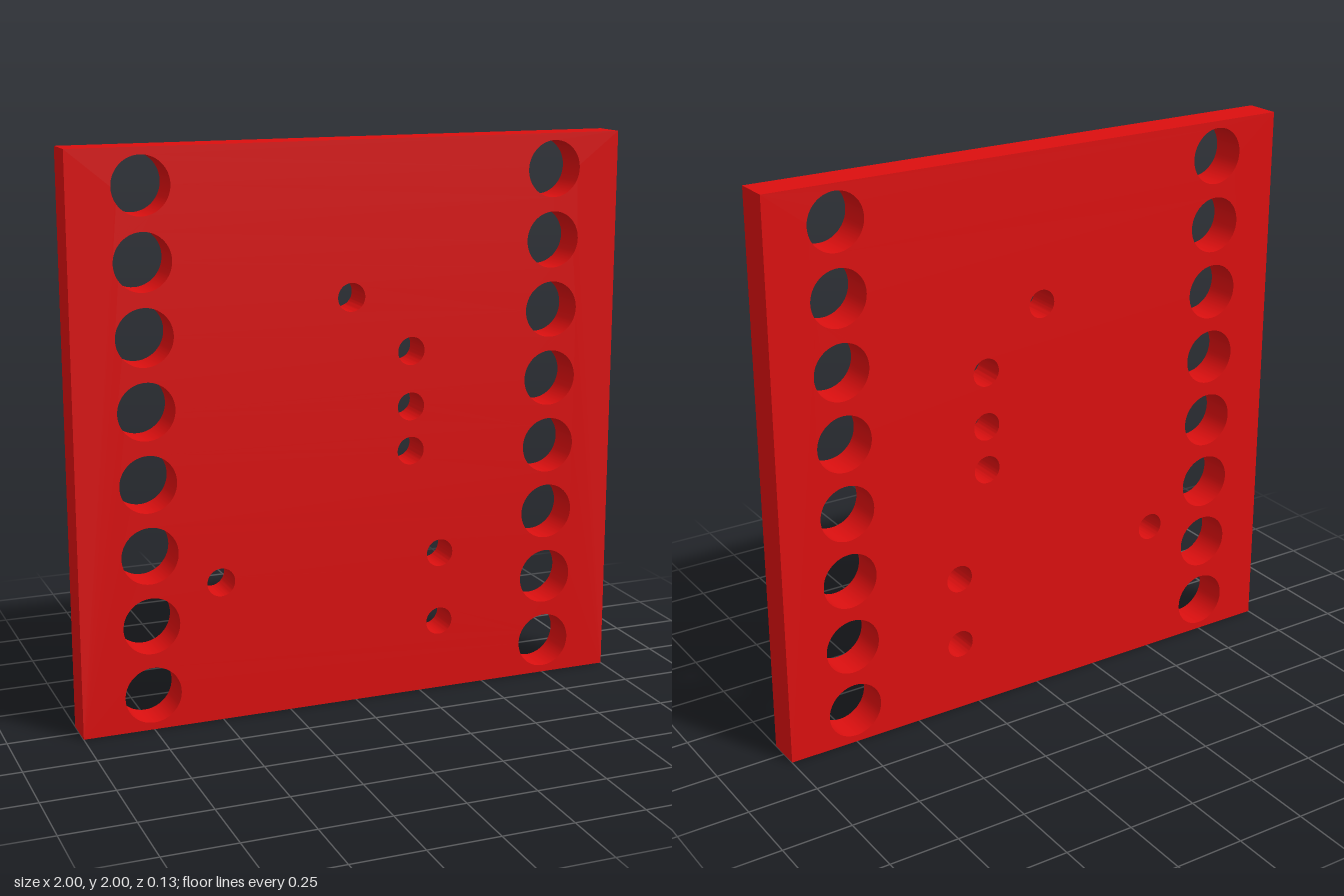
import * as THREE from 'three';
import { toCreasedNormals } from 'three/addons/utils/BufferGeometryUtils.js';

const THICKNESS = 0.126;

export function createModel() {
  const group = new THREE.Group();
  group.name = 'circuitBoard';

  // Square board outline
  const outline = new THREE.Shape([
    new THREE.Vector2(-1, 0), new THREE.Vector2(1, 0),
    new THREE.Vector2(1, 2), new THREE.Vector2(-1, 2),
  ]);
  const drill = (x, y, radius) =>
    outline.holes.push(new THREE.Path().absarc(x, y, radius, 0, Math.PI * 2, true));

  // Two mirrored columns of eight pin holes
  for (const side of [-1, 1]) {
    for (let i = 0; i < 8; i++) drill(side * 0.75, 0.125 + i * 0.25, 0.1);
  }

  // Small through holes
  const vias = [
    [-0.017, 1.465], [0.207, 1.262], [0.207, 1.064], [0.207, 0.904],
    [0.324, 0.514], [0.324, 0.256], [-0.5, 0.502],
  ];
  for (const [x, y] of vias) drill(x, y, 0.05);

  // Extruded plate with smooth hole walls and sharp rims
  const plate = new THREE.ExtrudeGeometry(outline, {
    depth: THICKNESS, bevelEnabled: false, curveSegments: 32,
  });
  plate.translate(0, 0, -THICKNESS / 2);
  const board = new THREE.Mesh(
    toCreasedNormals(plate, Math.PI / 6),
    new THREE.MeshStandardMaterial({ color: 0xdb0f0f }),
  );
  board.name = 'board';
  group.add(board);
  return group;
}
